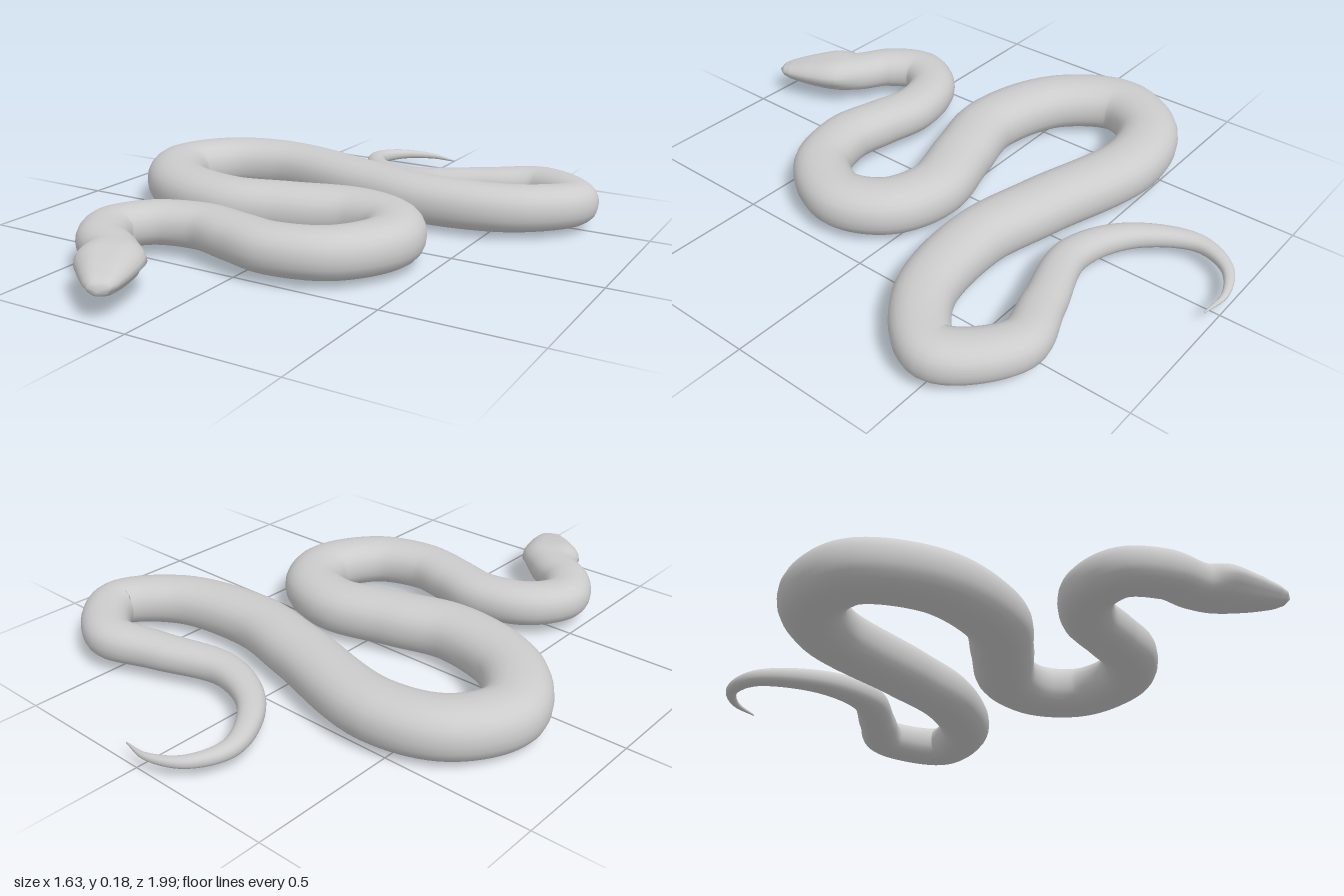
import * as THREE from 'three';

// Centreline seen from above, snout to tail tip: x, z
const PATH = [
  [-0.108, 0.975], [-0.122, 0.95], [-0.16, 0.888], [-0.217, 0.803], [-0.272, 0.735],
  [-0.375, 0.66], [-0.43, 0.545], [-0.36, 0.43], [-0.2, 0.382], [-0.05, 0.413],
  [0.1, 0.44], [0.28, 0.38], [0.376, 0.2], [0.31, 0.055], [0.15, -0.005],
  [-0.08, 0.052], [-0.3, 0.103], [-0.58, 0.015], [-0.712, -0.19], [-0.62, -0.365],
  [-0.4, -0.432], [0, -0.335], [0.27, -0.28], [0.58, -0.335], [0.728, -0.5],
  [0.56, -0.662], [0.37, -0.615], [0.12, -0.545], [-0.08, -0.625], [-0.195, -0.81],
  [-0.15, -0.935], [-0.04, -0.99], [0.066, -0.979],
];
// Thickness along the centreline: path point number, half width, half height, centre y
const PROFILE = [
  [0, 0.034, 0.02, 0.097], [1, 0.052, 0.031, 0.097], [2, 0.08, 0.047, 0.099],
  [3, 0.106, 0.061, 0.101], [4, 0.085, 0.064, 0.1], [5, 0.083, 0.068, 0.1],
  [14, 0.104, 0.086, 0.092], [18, 0.108, 0.09, 0.09], [22, 0.1, 0.085, 0.093],
  [25, 0.078, 0.067, 0.09], [27, 0.058, 0.049, 0.074], [29, 0.031, 0.027, 0.061],
  [32, 0.002, 0.003, 0.045],
];
const STEPS = 10;
const SIDES = 24;

const rounded = (v) => Math.sign(v) * Math.pow(Math.abs(v), 0.9);

const spine = new THREE.CatmullRomCurve3(PATH.map(([x, z]) => new THREE.Vector3(x, 0, z)));
const thickness = new THREE.CatmullRomCurve3(
  PROFILE.map(([, w, h, y]) => new THREE.Vector3(w, h, y)), false, 'catmullrom', 0.5);

// Half width (x), half height (y) and centre height (z) at a path position
function sectionAt(station) {
  const last = PROFILE.length - 1;
  let k = 0;
  while (k < last - 1 && station > PROFILE[k + 1][0]) k++;
  const f = (station - PROFILE[k][0]) / (PROFILE[k + 1][0] - PROFILE[k][0]);
  return thickness.getPoint((k + f) / last);
}

function snakeGeometry() {
  const rings = (PATH.length - 1) * STEPS;
  const up = new THREE.Vector3(0, 1, 0);
  const positions = [];
  const index = [];

  for (let i = 0; i <= rings; i++) {
    const centre = spine.getPoint(i / rings);
    const side = new THREE.Vector3().crossVectors(up, spine.getTangent(i / rings)).normalize();
    const section = sectionAt(i / STEPS);
    // 1 over the head, fading to 0 behind the neck
    const head = 1 - THREE.MathUtils.smoothstep(i / STEPS, 2.8, 4.2);
    for (let j = 0; j < SIDES; j++) {
      const a = (j / SIDES) * Math.PI * 2;
      const s = rounded(Math.sin(a));
      // The lower jaw is narrower than the upper, and the crown is flatter
      const jaw = s < -0.1 ? 1 - 0.14 * head : 1;
      const crown = s > 0 ? THREE.MathUtils.lerp(s, Math.min(s * 1.1, 1), head) : s;
      const reach = section.x * rounded(Math.cos(a)) * jaw;
      positions.push(
        centre.x + side.x * reach,
        section.z + section.y * crown,
        centre.z + side.z * reach);
    }
  }

  // Skin between neighbouring rings
  for (let i = 0; i < rings; i++) {
    for (let j = 0; j < SIDES; j++) {
      const a = i * SIDES + j;
      const b = i * SIDES + ((j + 1) % SIDES);
      index.push(a, b, a + SIDES, b, b + SIDES, a + SIDES);
    }
  }

  // Blunt snout and pointed tail end
  const snout = positions.length / 3;
  const tip = snout + 1;
  positions.push(-0.098, 0.097, 0.992, 0.069, 0.045, -0.979);
  for (let j = 0; j < SIDES; j++) {
    const k = (j + 1) % SIDES;
    index.push(snout, k, j);
    index.push(tip, rings * SIDES + j, rings * SIDES + k);
  }

  const geometry = new THREE.BufferGeometry();
  geometry.setAttribute('position', new THREE.Float32BufferAttribute(positions, 3));
  geometry.setIndex(index);
  geometry.computeVertexNormals();
  return geometry;
}

export function createModel() {
  const group = new THREE.Group();
  group.name = 'snake';
  const body = new THREE.Mesh(snakeGeometry(), new THREE.MeshStandardMaterial({ color: 0xcccccc }));
  body.name = 'snakeBody';
  group.add(body);
  return group;
}
